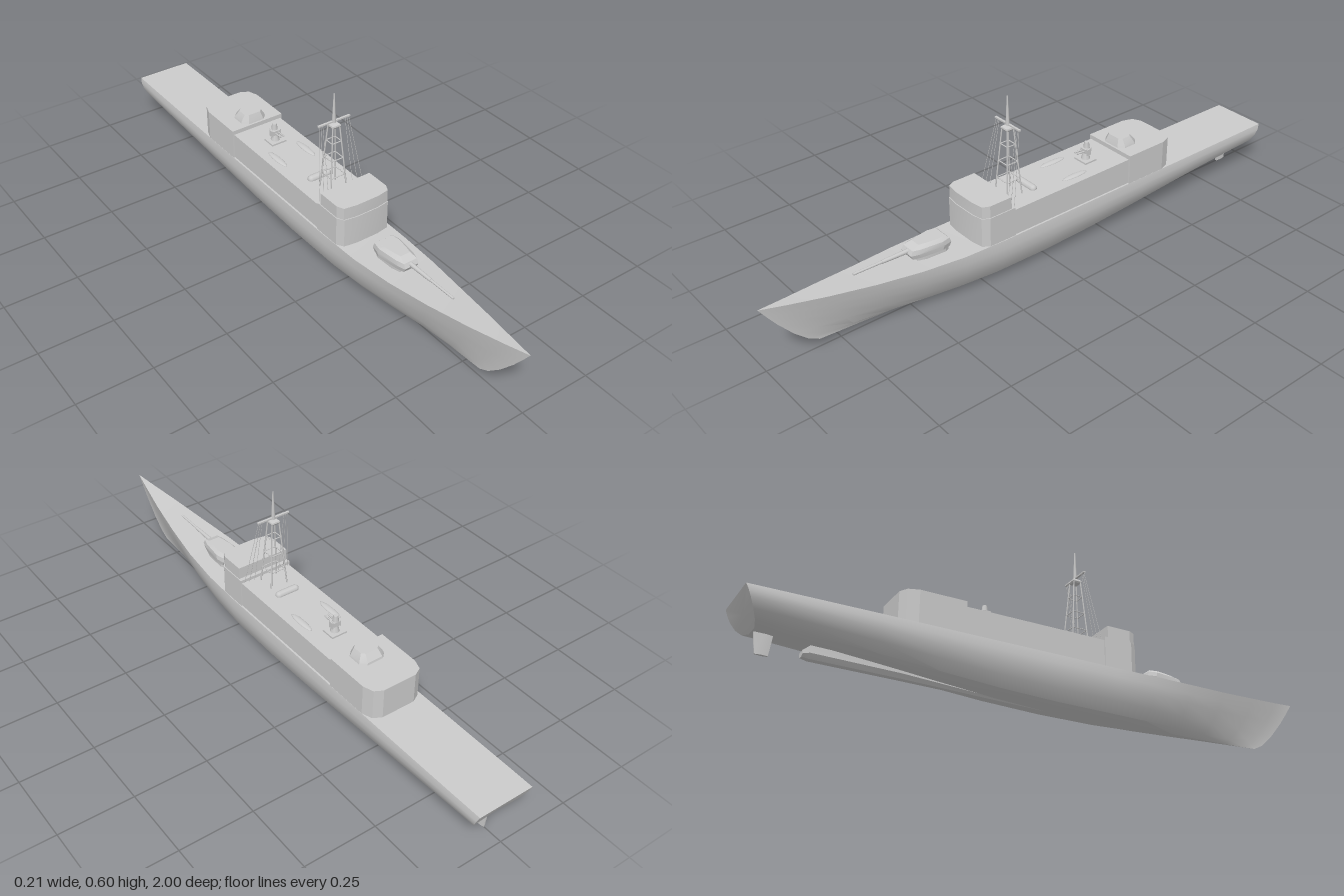
import * as THREE from 'three';
import { toCreasedNormals } from 'three/addons/utils/BufferGeometryUtils.js';

const material = new THREE.MeshStandardMaterial({ color: 0xcccccc });
const V = (x, y, z) => new THREE.Vector3(x, y, z);
const lerp = THREE.MathUtils.lerp;

function add(parent, name, geometry, x = 0, y = 0, z = 0) {
  const mesh = new THREE.Mesh(geometry, material);
  mesh.name = name;
  mesh.position.set(x, y, z);
  parent.add(mesh);
  return mesh;
}

// Solid skin through equal closed rings, capped at both ends
function loft(rings, crease = 0.5) {
  const pos = [];
  const tri = (...pts) => pts.forEach((p) => pos.push(p.x, p.y, p.z));
  const n = rings[0].length;
  for (let r = 0; r + 1 < rings.length; r++) {
    const a = rings[r], b = rings[r + 1];
    for (let i = 0; i < n; i++) {
      const j = (i + 1) % n;
      tri(a[i], a[j], b[j]);
      tri(a[i], b[j], b[i]);
    }
  }
  const cap = (ring, flip) => {
    const c = ring.reduce((s, p) => s.add(p), V(0, 0, 0)).divideScalar(n);
    ring.forEach((p, i) => {
      const q = ring[(i + 1) % n];
      flip ? tri(c, q, p) : tri(c, p, q);
    });
  };
  cap(rings[0], true);
  cap(rings[rings.length - 1], false);
  const geo = new THREE.BufferGeometry();
  geo.setAttribute('position', new THREE.Float32BufferAttribute(pos, 3));
  return toCreasedNormals(geo, crease);
}

// Mirrored footprint: half outline [x, z] from front to back on the +x side
const footprint = (half, y) => [
  ...half.map(([x, z]) => V(x, y, z)),
  ...half.slice().reverse().map(([x, z]) => V(-x, y, z)),
];

// Each level is [half outline, y], from the bottom up
const stack = (...levels) => loft(levels.map(([half, y]) => footprint(half, y)), 0.3);

// Straight rod between two points
function rod(parent, name, a, b, r0, r1 = r0, sides = 6) {
  const mesh = add(parent, name, new THREE.CylinderGeometry(r1, r0, a.distanceTo(b), sides));
  mesh.position.copy(a).add(b).multiplyScalar(0.5);
  mesh.quaternion.setFromUnitVectors(V(0, 1, 0), b.clone().sub(a).normalize());
  return mesh;
}

function hullGeometry() {
  // deck z, keel z, deck y, keel y, half beam, sharpness of the V section
  const stations = [
    [-1, -0.945, 0.163, 0.07, 0.102, 0], [-0.88, -0.86, 0.163, 0.065, 0.103, 0],
    [-0.6, -0.6, 0.163, 0.046, 0.104, 0], [-0.4, -0.4, 0.163, 0.03, 0.104, 0],
    [-0.2, -0.2, 0.163, 0.016, 0.104, 0], [0, 0, 0.163, 0.009, 0.104, 0],
    [0.2, 0.2, 0.163, 0.009, 0.104, 0.05], [0.35, 0.33, 0.165, 0.012, 0.1, 0.2],
    [0.5, 0.46, 0.172, 0.016, 0.087, 0.4], [0.65, 0.58, 0.182, 0.02, 0.065, 0.65],
    [0.8, 0.69, 0.197, 0.024, 0.04, 0.85], [0.92, 0.77, 0.211, 0.027, 0.0165, 1],
    [1, 0.82, 0.222, 0.03, 0.0004, 1],
  ];
  // height, full section width, V section width
  const section = [[0, 0.24, 0.02], [0.09, 0.6, 0.16], [0.31, 0.84, 0.4],
    [0.6, 0.97, 0.67], [0.8, 1, 0.85], [1, 0.965, 1]];
  return loft(stations.map(([zd, zk, yd, yk, w, v]) => {
    const side = section.map(([h, full, vee]) =>
      V(w * lerp(full, vee, v), lerp(yk, yd, h), lerp(zk, zd, h ** 0.7)));
    return [...side, ...side.slice().reverse().map((p) => V(-p.x, p.y, p.z))];
  }));
}

function addHull(ship) {
  add(ship, 'hull', hullGeometry());
  // Skeg under the after body, widening to a rounded end
  const skeg = [[-0.8, 0.014, 0.022, 0.04], [-0.78, 0.02, 0.018, 0.056],
    [-0.5, 0.018, 0.016, 0.05], [-0.25, 0.012, 0.012, 0.03], [0, 0.004, 0.009, 0.014]];
  add(ship, 'skeg', loft(skeg.map(([z, w, y0, y1]) => [
    V(-w * 0.5, y0, z), V(w * 0.5, y0, z), V(w, lerp(y0, y1, 0.4), z),
    V(w, y1, z), V(-w, y1, z), V(-w, lerp(y0, y1, 0.4), z)])));
  add(ship, 'rudder', stack(
    [[[0.003, -0.893], [0.005, -0.91], [0.002, -0.932]], 0.004],
    [[[0.004, -0.882], [0.006, -0.905], [0.002, -0.942]], 0.085]));
}

function addHouses(ship) {
  const fore = [[0.04, 0.285], [0.084, 0.278], [0.098, 0.255], [0.098, 0.155]];
  const bridge = [[0.04, 0.282], [0.084, 0.275], [0.095, 0.252], [0.095, 0.168]];
  const middle = [[0.094, 0.16], [0.094, -0.34]];
  const aft = [[0.1, -0.335], [0.1, -0.49], [0.088, -0.525], [0.06, -0.54]];
  add(ship, 'foreHouse', stack([fore, 0.15], [fore, 0.265]));
  add(ship, 'bridge', stack([bridge, 0.265], [bridge, 0.307]));
  add(ship, 'middleHouse', stack([middle, 0.15], [middle, 0.254]));
  add(ship, 'aftHouse', stack([aft, 0.15], [aft, 0.269]));
  // Sloped cupola on the aft house
  const cupola = (w, z0, z1, c) => [[w - c, z0], [w, z0 - c], [w, z1 + c], [w - c, z1]];
  add(ship, 'aftCupola', stack([cupola(0.048, -0.342, -0.425, 0.018), 0.268],
    [cupola(0.046, -0.344, -0.423, 0.018), 0.276], [cupola(0.033, -0.352, -0.405, 0.01), 0.298]));
}

function addTurret(ship) {
  const gun = new THREE.Group();
  gun.name = 'mainGun';
  ship.add(gun);
  const base = [[0.026, 0.48], [0.034, 0.45], [0.034, 0.38], [0.026, 0.365]];
  const shell = (k, z0, z1) => [[0.026 * k, z0], [0.034 * k, z0 - 0.025], [0.043 * k, z1 + 0.03], [0.036 * k, z1]];
  add(gun, 'gunBase', stack([base, 0.15], [base, 0.183]));
  add(gun, 'gunHouse', stack([shell(0.95, 0.495, 0.365), 0.181], [shell(1, 0.503, 0.36), 0.196],
    [shell(0.95, 0.495, 0.365), 0.211], [shell(0.7, 0.47, 0.375), 0.221]));
  rod(gun, 'gunSleeve', V(0, 0.201, 0.49), V(0, 0.202, 0.59), 0.008, 0.006, 10);
  rod(gun, 'gunBarrel', V(0, 0.202, 0.58), V(0, 0.203, 0.69), 0.0045, 0.004, 10);
}

function addMast(ship) {
  const mast = new THREE.Group();
  mast.name = 'mast';
  mast.position.z = 0.105;
  ship.add(mast);
  // Corner of the tapering tower at height y
  const corner = (y, sx, sz) => {
    const t = (y - 0.254) / 0.231;
    return V(sx * lerp(0.031, 0.0135, t), y, sz * lerp(0.03, 0.0125, t));
  };
  const signs = [[1, 1], [1, -1], [-1, -1], [-1, 1]];
  signs.forEach(([sx, sz], i) => {
    rod(mast, 'mastLeg', corner(0.25, sx, sz), corner(0.487, sx, sz), 0.0025);
    for (const y of [0.31, 0.371, 0.432]) {
      rod(mast, 'mastBrace', corner(y, sx, sz), corner(y, ...signs[(i + 1) % 4]), 0.0018);
    }
  });
  const square = (r) => [[r, r], [r, -r]];
  add(mast, 'mastPlatform', stack([square(0.013), 0.483], [square(0.016), 0.488],
    [square(0.015), 0.493], [square(0.008), 0.499]));
  add(mast, 'yard', new THREE.BoxGeometry(0.12, 0.005, 0.007), 0, 0.503, 0);
  rod(mast, 'topmast', V(0, 0.495, 0), V(0, 0.6, 0), 0.007, 0.002, 8);
  // Rigging lines from the yard down to the deck
  for (const s of [-1, 1]) {
    for (const [top, foot, z] of [[0.056, 0.086, 0.046], [0.049, 0.067, 0.044], [0.042, 0.048, 0.042]]) {
      rod(mast, 'riggingLine', V(s * top, 0.502, 0), V(s * foot, 0.254, z), 0.0008, 0.0008, 4);
    }
  }
}

function addDeckGear(ship) {
  // Long, low rounded locker across the deck behind the mast
  const locker = add(ship, 'deckLocker', new THREE.CapsuleGeometry(0.013, 0.062, 4, 10), 0, 0.256, 0.03);
  locker.rotation.z = Math.PI / 2;
  // Flat rafts on both sides of the deck
  for (const s of [-1, 1]) {
    const raft = add(ship, 'raft', new THREE.SphereGeometry(1, 20, 6, 0, Math.PI * 2, 0, Math.PI / 2), s * 0.056, 0.254, -0.127);
    raft.scale.set(0.012, 0.006, 0.052);
  }
  // Small gun on a pedestal
  const gun = new THREE.Group();
  gun.name = 'smallGun';
  gun.position.set(0, 0.254, -0.225);
  ship.add(gun);
  add(gun, 'gunPlate', new THREE.BoxGeometry(0.056, 0.006, 0.05), 0, 0.003, 0);
  add(gun, 'gunPedestal', new THREE.CylinderGeometry(0.008, 0.016, 0.03, 8), 0, 0.02, 0);
  add(gun, 'gunCradle', new THREE.BoxGeometry(0.026, 0.016, 0.026), 0, 0.038, 0);
  add(gun, 'gunSight', new THREE.CylinderGeometry(0.008, 0.011, 0.022, 8), 0, 0.056, -0.003);
  for (const s of [-1, 1]) {
    rod(gun, 'smallBarrel', V(s * 0.006, 0.037, 0), V(s * 0.006, 0.039, 0.044), 0.003);
    add(gun, 'gunArm', new THREE.BoxGeometry(0.004, 0.022, 0.018), s * 0.015, 0.034, 0);
  }
}

export function createModel() {
  const ship = new THREE.Group();
  ship.name = 'warship';
  addHull(ship);
  addHouses(ship);
  addTurret(ship);
  addMast(ship);
  addDeckGear(ship);
  return ship;
}
